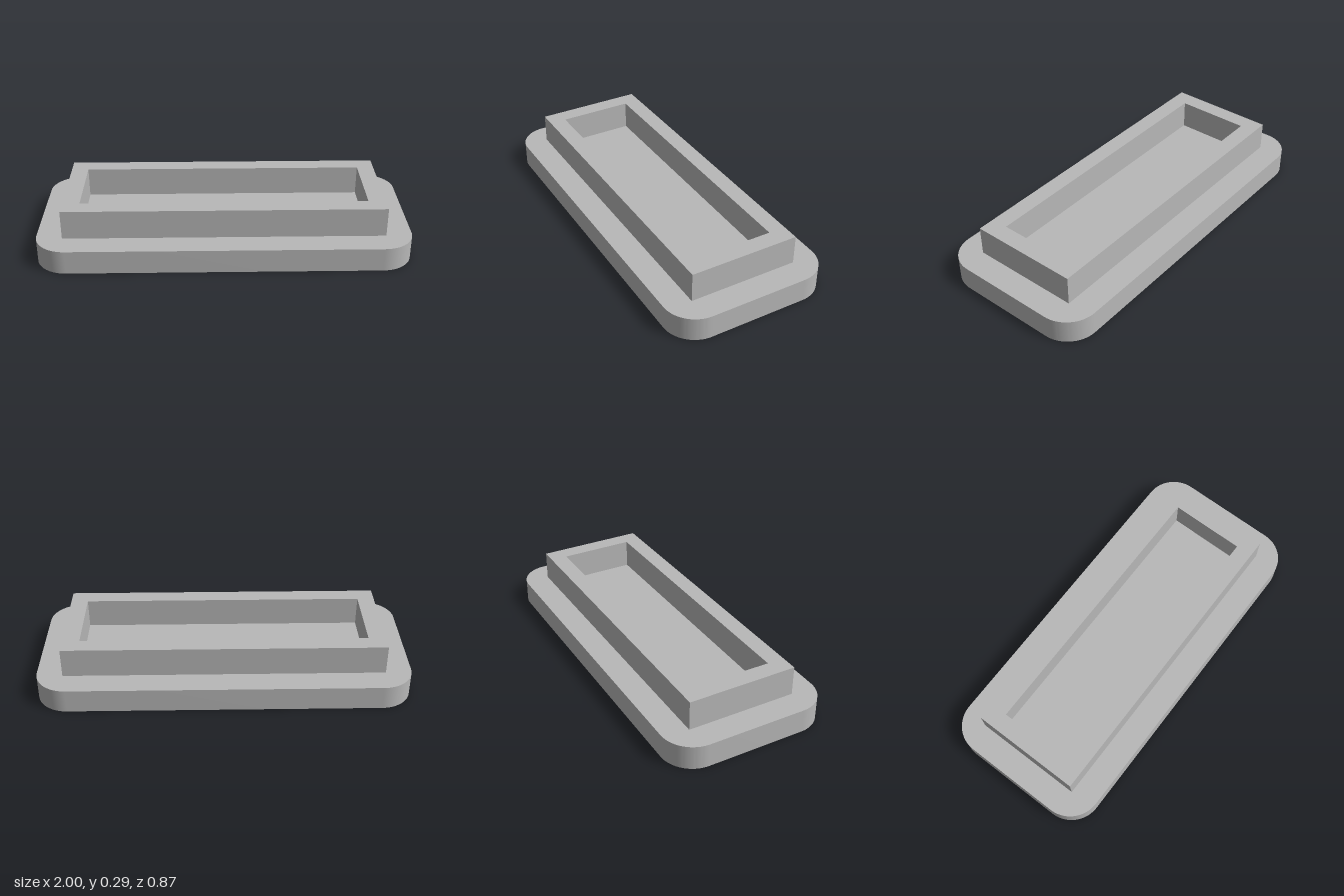
import * as THREE from 'three';
import { toCreasedNormals } from 'three/addons/utils/BufferGeometryUtils.js';

const BASE_HEIGHT = 0.13;
const RIM_HEIGHT = 0.16;

// Traces a centred rectangle with optional rounded corners
function rectangle(path, halfX, halfZ, radius = 0) {
  if (radius === 0) {
    path.moveTo(-halfX, -halfZ);
    path.lineTo(halfX, -halfZ);
    path.lineTo(halfX, halfZ);
    path.lineTo(-halfX, halfZ);
    path.closePath();
    return path;
  }
  const x = halfX - radius;
  const z = halfZ - radius;
  path.moveTo(-x, -halfZ);
  path.absarc(x, -z, radius, -Math.PI / 2, 0);
  path.absarc(x, z, radius, 0, Math.PI / 2);
  path.absarc(-x, z, radius, Math.PI / 2, Math.PI);
  path.absarc(-x, -z, radius, Math.PI, Math.PI * 1.5);
  return path;
}

// Extrudes a plan outline upward from y
function slab(name, shape, y, height, material) {
  const geometry = new THREE.ExtrudeGeometry(shape, {
    depth: height, bevelEnabled: false, curveSegments: 16,
  });
  geometry.rotateX(-Math.PI / 2);
  geometry.translate(0, y, 0);
  const mesh = new THREE.Mesh(toCreasedNormals(geometry, 0.5), material);
  mesh.name = name;
  return mesh;
}

export function createModel() {
  const group = new THREE.Group();
  group.name = 'cap';
  const grey = new THREE.MeshStandardMaterial({ color: 0xb8b8b8 });
  grey.name = 'grey';

  // Rounded base plate, whose top is also the floor of the recess
  const plate = rectangle(new THREE.Shape(), 1, 0.437, 0.17);
  group.add(slab('basePlate', plate, 0, BASE_HEIGHT, grey));

  // Square-cornered raised rim, open in the middle
  const rim = rectangle(new THREE.Shape(), 0.86, 0.298);
  rim.holes.push(rectangle(new THREE.Path(), 0.767, 0.205));
  group.add(slab('raisedRim', rim, BASE_HEIGHT, RIM_HEIGHT, grey));

  return group;
}
